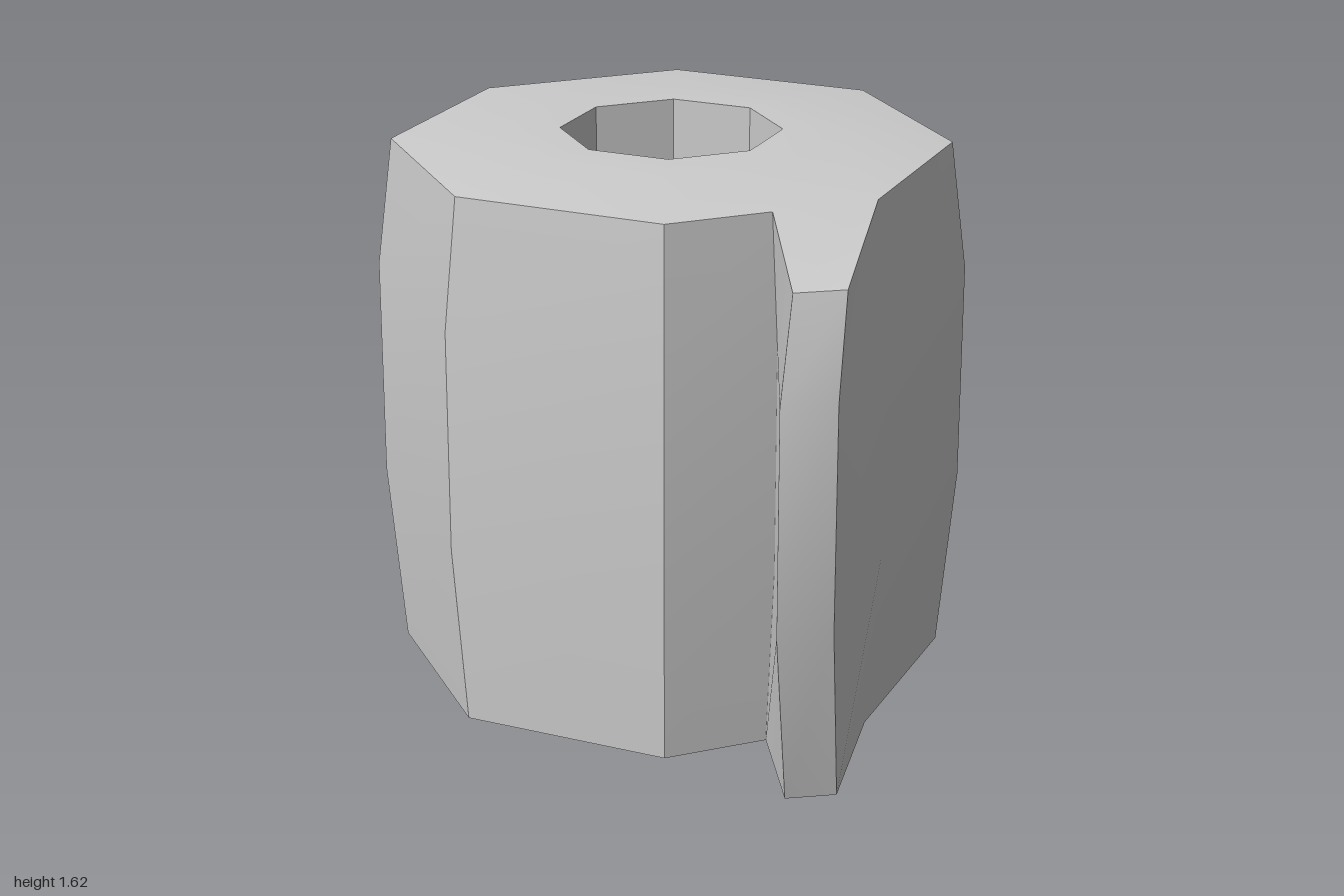
import * as THREE from 'three';
import { toCreasedNormals } from 'three/addons/utils/BufferGeometryUtils.js';

// Octagon as a ring of 11 points: the front-left side gets a notch and
// two flap tips, which lie on the octagon unless a flap is given.
function ring(y, r, cz, flap) {
  const v = [];
  for (let i = 0; i < 8; i++) {
    const a = (i * Math.PI) / 4;
    v.push(new THREE.Vector3(r * Math.sin(a), y, cz + r * Math.cos(a)));
  }
  const notch = v[0].clone().lerp(v[1], 0.5);
  let tips = [notch, v[1]];
  if (flap) {
    const [ty, x1, z1, x2, z2] = flap;
    tips = [new THREE.Vector3(x1, ty, z1), new THREE.Vector3(x2, ty, z2)];
  }
  return [v[0], notch, ...tips, ...v.slice(1)];
}

// Joins successive rings with triangles, dropping collapsed ones.
function loft(rings, crease) {
  const pos = [];
  const tri = (a, b, c) => {
    if (new THREE.Triangle(a, b, c).getArea() < 1e-6) return;
    for (const p of [a, b, c]) pos.push(p.x, p.y, p.z);
  };
  for (let k = 0; k + 1 < rings.length; k++) {
    const lo = rings[k], up = rings[k + 1], n = lo.length;
    for (let i = 0; i < n; i++) {
      const j = (i + 1) % n;
      tri(lo[i], lo[j], up[j]);
      tri(lo[i], up[j], up[i]);
    }
  }
  const g = new THREE.BufferGeometry();
  g.setAttribute('position', new THREE.Float32BufferAttribute(pos, 3));
  return toCreasedNormals(g, crease);
}

export function createModel() {
  const group = new THREE.Group();
  group.name = 'paperRoll';
  const mat = new THREE.MeshStandardMaterial({ color: 0xcccccc });
  const add = (name, geo) => {
    const m = new THREE.Mesh(geo, mat);
    m.name = name;
    group.add(m);
  };

  const holeLow = ring(0, 0.315, -0.13), holeTop = ring(1.615, 0.315, -0.13);

  // Bulging roll with the loose end flap, from bottom rim over the side to top rim
  add('rollWithFlap', loft([
    holeLow,
    ring(0, 0.46, -0.13),
    ring(0.035, 0.795, -0.13),
    ring(0.035, 0.795, -0.13, [0.035, 0.33, 0.89, 0.47, 0.865]),
    ring(0.56, 0.845, -0.155, [0.56, 0.30, 1.0, 0.45, 0.965]),
    ring(1.2, 0.845, -0.155, [1.2, 0.30, 1.0, 0.45, 0.965]),
    ring(1.58, 0.795, -0.13, [1.48, 0.33, 0.915, 0.47, 0.885]),
    ring(1.58, 0.795, -0.13),
    ring(1.615, 0.46, -0.13),
    holeTop,
  ], 0.45));

  // Inner wall of the core hole
  add('coreHole', loft([holeTop, holeLow], 0.45));
  return group;
}
